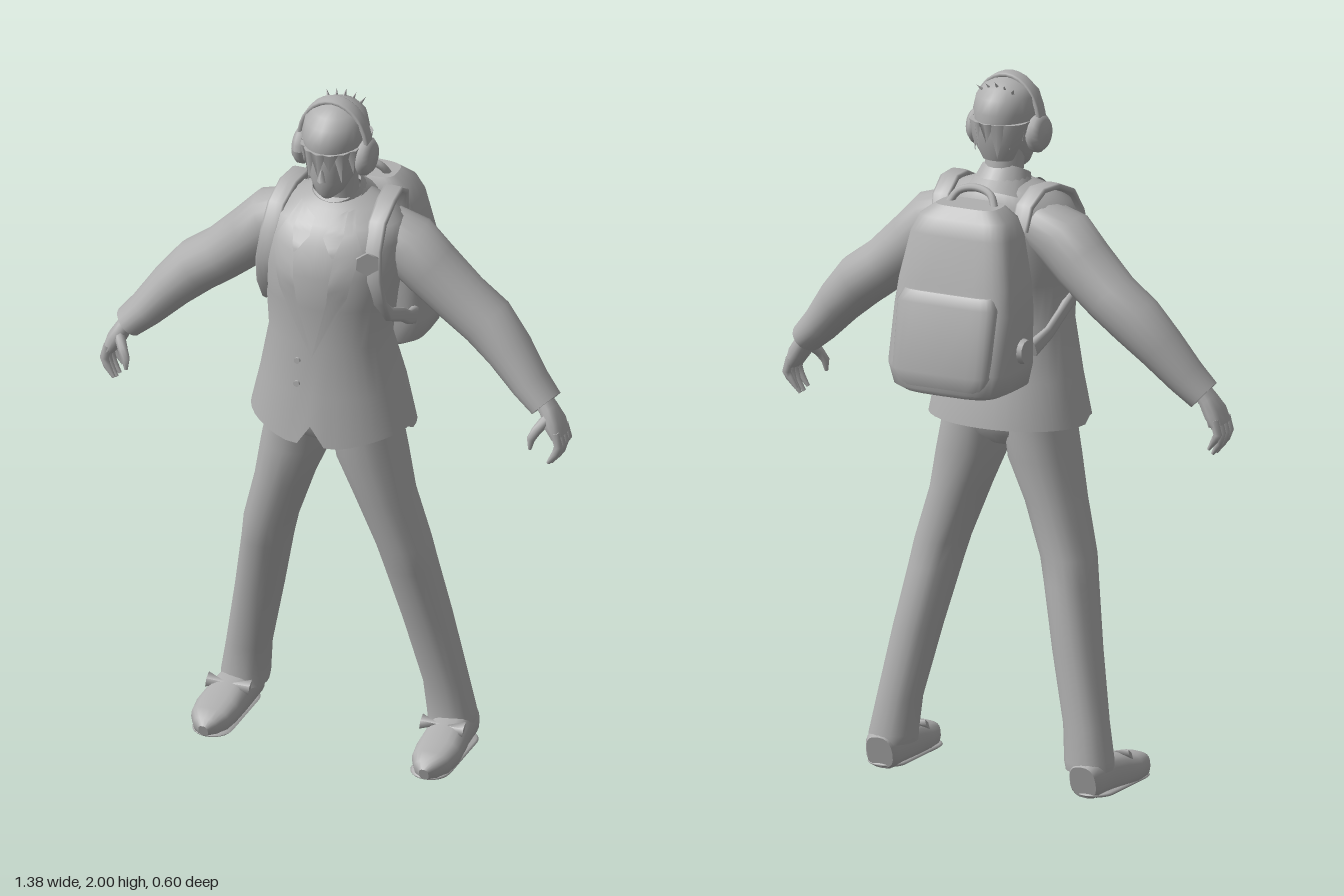
import * as THREE from 'three';
import { mergeVertices } from 'three/addons/utils/BufferGeometryUtils.js';

const grey = new THREE.MeshStandardMaterial({ color: 0xb0b0b0, side: THREE.DoubleSide });
grey.name = 'plain grey';

// Skin over cross-sections [x, y, z, ru, rv]; "flat" keeps every ring level.
function loft(secs, { flat = false, ref = [0, 0, 1], n = 16, e = 2, cap = true } = {}) {
  const c = secs.map(s => new THREE.Vector3(s[0], s[1], s[2]));
  const pos = [], idx = [];
  const pow = v => Math.sign(v) * Math.pow(Math.abs(v), 2 / e);
  secs.forEach((s, i) => {
    const U = new THREE.Vector3(1, 0, 0), V = new THREE.Vector3(0, 0, 1);
    if (!flat) {
      const D = c[Math.min(i + 1, c.length - 1)].clone().sub(c[Math.max(i - 1, 0)]).normalize();
      V.set(...ref).addScaledVector(D, -D.dot(V)).normalize();
      U.crossVectors(D, V).normalize();
    }
    for (let j = 0; j < n; j++) {
      const t = j / n * Math.PI * 2;
      const p = c[i].clone().addScaledVector(U, s[3] * pow(Math.cos(t))).addScaledVector(V, s[4] * pow(Math.sin(t)));
      pos.push(p.x, p.y, p.z);
    }
  });
  for (let i = 0; i < secs.length - 1; i++) for (let j = 0; j < n; j++) {
    const a = i * n + j, b = i * n + (j + 1) % n;
    idx.push(a, a + n, b, b, a + n, b + n);
  }
  if (cap) [0, secs.length - 1].forEach(i => {
    const base = pos.length / 3;
    pos.push(...pos.slice(i * n * 3, (i + 1) * n * 3), c[i].x, c[i].y, c[i].z);
    for (let j = 0; j < n; j++) {
      const a = base + j, b = base + (j + 1) % n;
      idx.push(...(i === 0 ? [a, b, base + n] : [b, a, base + n]));
    }
  });
  const g = new THREE.BufferGeometry();
  g.setAttribute('position', new THREE.Float32BufferAttribute(pos, 3));
  g.setIndex(idx);
  g.computeVertexNormals();
  return g;
}

// Level rings given as [y, halfWidth, zFront, zBack], optionally shifted in x
const level = rows => rows.map(([y, hx, f, b, x = 0]) => [x, y, (f + b) / 2, hx, (f - b) / 2]);

function flipX(geo) {
  const g = geo.index ? geo.clone() : mergeVertices(geo);
  g.scale(-1, 1, 1);
  const a = g.index.array;
  for (let i = 0; i < a.length; i += 3) [a[i + 1], a[i + 2]] = [a[i + 2], a[i + 1]];
  const nrm = g.attributes.normal;
  if (nrm) g.computeVertexNormals();
  return g;
}

// Jacket profile
const JACKET = [
  [1.02, 0.235, 0.30, -0.05], [1.15, 0.208, 0.288, -0.03], [1.3, 0.175, 0.28, 0.015],
  [1.42, 0.185, 0.285, -0.01], [1.52, 0.2, 0.292, -0.025], [1.6, 0.2, 0.262, -0.025],
  [1.65, 0.19, 0.225, -0.02], [1.685, 0.13, 0.185, 0], [1.705, 0.075, 0.15, 0.02]];
const E = 2.1;

// Front surface depth of the jacket
function chestZ(x, y) {
  let i = 0;
  while (i < JACKET.length - 2 && JACKET[i + 1][0] < y) i++;
  const A = JACKET[i], B = JACKET[i + 1];
  const t = THREE.MathUtils.clamp((y - A[0]) / (B[0] - A[0]), 0, 1);
  const [, hx, f, b] = A.map((v, k) => v + (B[k] - v) * t);
  const q = Math.max(0, 1 - Math.pow(Math.min(1, Math.abs(x) / hx), E));
  return (f + b) / 2 + (f - b) / 2 * Math.pow(q, 1 / E);
}

// Thin cloth patch between two edges, lying on the jacket front
function patch(inner, outer, off) {
  const at = (e, t) => {
    const k = Math.min(e.length - 2, Math.floor(t * (e.length - 1))), u = t * (e.length - 1) - k;
    return [e[k][0] + (e[k + 1][0] - e[k][0]) * u, e[k][1] + (e[k + 1][1] - e[k][1]) * u];
  };
  const g = new THREE.PlaneGeometry(1, 1, 5, 12), p = g.attributes.position;
  for (let i = 0; i < p.count; i++) {
    const u = p.getX(i) + 0.5, v = 0.5 - p.getY(i);
    const a = at(inner, v), b = at(outer, v);
    const x = a[0] + (b[0] - a[0]) * u, y = a[1] + (b[1] - a[1]) * u;
    p.setXYZ(i, x, y, chestZ(x, y) + off);
  }
  g.computeVertexNormals();
  return g;
}

export function createModel() {
  const model = new THREE.Group();
  const add = (name, geo) => {
    const m = new THREE.Mesh(geo, grey);
    m.name = name;
    model.add(m);
    return m;
  };
  const pair = (name, geo) => { add(name + 'Left', geo); add(name + 'Right', flipX(geo)); };

  // Jacket, with lower front points and a small split at the hem
  const jacket = loft(level(JACKET), { flat: true, n: 40, e: E, cap: false });
  const jp = jacket.attributes.position;
  for (let j = 0; j < 40; j++) if (jp.getZ(j) > 0.13) {
    const x = Math.abs(jp.getX(j));
    jp.setY(j, x < 0.03 ? 1.06 : 1.0 + Math.max(0, x - 0.085) * 0.25);
  }
  jacket.computeVertexNormals();
  add('jacket', jacket);
  pair('lapel', patch([[0.05, 1.68], [0.06, 1.58], [0.045, 1.45], [0, 1.27]],
    [[0.08, 1.69], [0.13, 1.6], [0.1, 1.47], [0, 1.27]], 0.008));
  pair('shirtCollar', patch([[0.02, 1.67], [0.02, 1.63], [0.055, 1.585]], [[0.065, 1.69], [0.075, 1.64], [0.06, 1.585]], 0.014));
  [1.25, 1.18].forEach(y => {
    const b = add('jacketButton', new THREE.CylinderGeometry(0.009, 0.009, 0.008, 10));
    b.rotation.x = Math.PI / 2;
    b.position.set(-0.045, y, chestZ(-0.045, y) + 0.003);
  });
  const badge = add('chestBadge', new THREE.CylinderGeometry(0.035, 0.035, 0.008, 6));
  badge.rotation.set(Math.PI / 2, 0, -0.45);
  badge.position.set(0.15, 1.575, chestZ(0.15, 1.575) + 0.025);

  // Collars and neck
  [[0.075, 0.112, 1.675, 'jacketCollar'], [0.068, 0.09, 1.695, 'innerCollar']].forEach(([rt, rb, y, name]) => {
    const col = add(name, new THREE.CylinderGeometry(rt, rb, 0.07, 24, 1, true));
    col.position.set(0, y, 0.09);
    col.rotation.x = 0.45;
  });
  add('neck', loft(level([[1.6, 0.06, 0.15, 0.02], [1.7, 0.053, 0.145, 0.025], [1.8, 0.053, 0.16, 0.04]]), { flat: true }));

  // Head and face
  add('head', loft(level([[1.72, 0.018, 0.19, 0.14], [1.735, 0.038, 0.203, 0.1], [1.775, 0.06, 0.213, 0.06],
    [1.83, 0.073, 0.216, 0.03], [1.88, 0.078, 0.22, 0.02], [1.94, 0.07, 0.19, 0.03]]), { flat: true, n: 24 }));
  const nose = add('nose', new THREE.ConeGeometry(0.013, 0.05, 4));
  nose.position.set(0, 1.81, 0.215);
  nose.rotation.x = -0.15;

  // Hair: cap, nape, fringe locks and tufts
  add('hairCap', loft(level([[1.86, 0.083, 0.222, 0], [1.9, 0.09, 0.23, -0.002], [1.94, 0.083, 0.212, 0.01],
    [1.965, 0.063, 0.185, 0.035], [1.98, 0.035, 0.15, 0.07], [1.985, 0.008, 0.12, 0.1]]), { flat: true, n: 24 }));
  add('hairNape', loft(level([[1.765, 0.045, 0.085, 0.025], [1.82, 0.074, 0.1, 0.004], [1.875, 0.085, 0.11, 0]]), { flat: true, n: 20 }));
  for (let i = 0; i < 16; i++) {
    const a = i / 16 * Math.PI * 2 + 0.1, long = 0.055 + 0.02 * (i % 3);
    const lock = new THREE.ConeGeometry(0.025, long, 4);
    lock.scale(1, 1, 0.45);
    lock.rotateX(Math.PI);
    lock.rotateY(Math.PI / 2 - a);
    lock.translate(0.084 * Math.cos(a), 1.875 - long / 2, 0.113 + 0.112 * Math.sin(a));
    add('hairLock', lock);
  }
  for (let i = -2; i <= 2; i++) {
    const tuft = add('hairTuft', new THREE.ConeGeometry(0.014, 0.06, 4));
    tuft.position.set(i * 0.022, 1.965 - Math.abs(i) * 0.006, 0.055);
    tuft.rotation.set(-0.75, 0, -i * 0.25);
  }

  // Headphones
  const band = add('headphoneBand', loft(Array.from({ length: 17 }, (_, i) => {
    const a = Math.PI * i / 16;
    return [0.1 * Math.cos(a), 1.86 + 0.132 * Math.sin(a), 0.118, 0.007, 0.022];
  }), { n: 10, e: 4 }));
  band.position.z = 0.002;
  const cup = new THREE.LatheGeometry([[0, 0], [0.04, 0], [0.054, 0.012], [0.054, 0.028], [0.04, 0.042], [0, 0.045]]
    .map(p => new THREE.Vector2(...p)), 20);
  cup.rotateZ(-Math.PI / 2).translate(0.072, 1.835, 0.118);
  pair('headphoneCup', cup);

  // Sleeves, cuffs, hands
  pair('sleeve', loft([[0.12, 1.6, 0.07, 0.07, 0.075], [0.2, 1.56, 0.07, 0.088, 0.09], [0.26, 1.5, 0.065, 0.084, 0.086],
    [0.355, 1.415, 0.06, 0.077, 0.08], [0.43, 1.36, 0.06, 0.077, 0.078], [0.5, 1.29, 0.072, 0.066, 0.07],
    [0.57, 1.21, 0.09, 0.053, 0.062], [0.62, 1.162, 0.1, 0.045, 0.057]], { n: 20 }));
  pair('palm', loft([[0.605, 1.18, 0.1, 0.024, 0.03], [0.63, 1.15, 0.105, 0.024, 0.034], [0.65, 1.115, 0.11, 0.026, 0.045],
    [0.668, 1.08, 0.112, 0.018, 0.044]], { n: 12, e: 2.5 }));
  for (let i = 0; i < 4; i++) {
    const z = 0.078 + i * 0.0225, d = i === 0 ? 0.018 : i === 3 ? 0.008 : 0;
    pair('finger', loft([[0.664, 1.1, z, 0.013, 0.011], [0.675, 1.06, z, 0.013, 0.011], [0.666, 1.028 + d, z, 0.011, 0.01],
      [0.645, 0.997 + d, z + 0.003, 0.005, 0.005]], { n: 8 }));
  }
  pair('thumb', loft([[0.637, 1.135, 0.13, 0.016, 0.015], [0.615, 1.105, 0.158, 0.014, 0.014],
    [0.602, 1.08, 0.168, 0.012, 0.012], [0.6, 1.05, 0.17, 0.005, 0.005]], { n: 8 }));

  // Trousers
  add('trouserHips', loft(level([[0.95, 0.05, 0.17, 0.06], [0.985, 0.15, 0.225, 0.015], [1.05, 0.18, 0.25, 0], [1.2, 0.165, 0.25, 0.02]]),
    { flat: true, n: 28 }));
  pair('trouserLeg', loft(level([[0.075, 0.066, 0.09, -0.048, 0.308], [0.1, 0.068, 0.085, -0.05, 0.306], [0.2, 0.063, 0.09, -0.036, 0.292],
    [0.4, 0.066, 0.13, -0.022, 0.25], [0.58, 0.069, 0.175, 0, 0.212], [0.65, 0.073, 0.188, 0.012, 0.197], [0.8, 0.08, 0.215, 0.018, 0.149],
    [0.92, 0.096, 0.23, 0.008, 0.112], [1.03, 0.092, 0.24, 0.005, 0.093]]), { flat: true, n: 20, e: 2.2 }));

  // Shoes with flat soles and bows
  const shoe = loft([[0.318, 0.05, -0.042, 0.04, 0.048], [0.318, 0.055, -0.025, 0.052, 0.055], [0.32, 0.055, 0.05, 0.056, 0.056],
    [0.324, 0.05, 0.11, 0.06, 0.053], [0.328, 0.044, 0.17, 0.064, 0.044], [0.328, 0.039, 0.225, 0.056, 0.039],
    [0.328, 0.033, 0.258, 0.036, 0.032], [0.328, 0.028, 0.274, 0.014, 0.018]], { ref: [0, 1, 0], n: 20, e: 2.6 });
  pair('shoe', shoe);
  const sole = new THREE.CapsuleGeometry(0.058, 0.19, 6, 14).rotateX(Math.PI / 2).scale(1, 0.2, 1).translate(0.324, 0.0116, 0.116);
  pair('shoeSole', sole);
  [-1, 1].forEach(s => {
    const loop = new THREE.ConeGeometry(0.022, 0.06, 4);
    loop.scale(1, 1, 0.3).rotateZ(s * Math.PI / 2).rotateX(-0.7).translate(0.318 + s * 0.034, 0.1, 0.115);
    pair('laceBow', loop);
  });

  // Backpack with rear pocket, handle, straps and side disc
  add('backpack', loft(level([[1.165, 0.145, -0.04, -0.265], [1.18, 0.175, -0.032, -0.28], [1.24, 0.19, -0.03, -0.29],
    [1.4, 0.187, -0.03, -0.25], [1.47, 0.18, -0.03, -0.235], [1.6, 0.155, -0.035, -0.205], [1.645, 0.135, -0.04, -0.185],
    [1.675, 0.095, -0.055, -0.155]]), { flat: true, n: 32, e: 4 }));
  add('backpackPocket', loft(level([[1.175, 0.13, -0.15, -0.275], [1.235, 0.155, -0.15, -0.302], [1.42, 0.155, -0.15, -0.265],
    [1.45, 0.14, -0.15, -0.245]]), { flat: true, n: 24, e: 5 }));
  const grip = new THREE.CatmullRomCurve3([[-0.075, 1.66, -0.1], [-0.05, 1.7, -0.08], [0, 1.712, -0.07], [0.05, 1.7, -0.08], [0.075, 1.66, -0.1]]
    .map(p => new THREE.Vector3(...p)));
  add('backpackHandle', new THREE.TubeGeometry(grip, 20, 0.011, 8));
  const front = (x, y) => [x, y, chestZ(x, y) + 0.006, 0.009, 0.025];
  pair('shoulderStrap', loft([[0.125, 1.6, -0.05, 0.009, 0.025], [0.13, 1.665, -0.03, 0.009, 0.027], [0.137, 1.7, 0.03, 0.009, 0.028],
    [0.145, 1.697, 0.1, 0.009, 0.028], [0.15, 1.665, 0.175, 0.009, 0.026], front(0.155, 1.6), front(0.162, 1.52), front(0.168, 1.44),
    [0.18, 1.385, 0.17, 0.02, 0.013], [0.184, 1.34, 0.08, 0.02, 0.009], [0.178, 1.3, 0.02, 0.02, 0.009], [0.165, 1.27, -0.05, 0.026, 0.012]],
    { ref: [1, 0, 0], n: 10, e: 3.5 }));
  const disc = add('backpackSideDisc', new THREE.CylinderGeometry(0.032, 0.038, 0.02, 16));
  disc.rotation.z = Math.PI / 2;
  disc.position.set(-0.192, 1.29, -0.15);

  return model;
}
